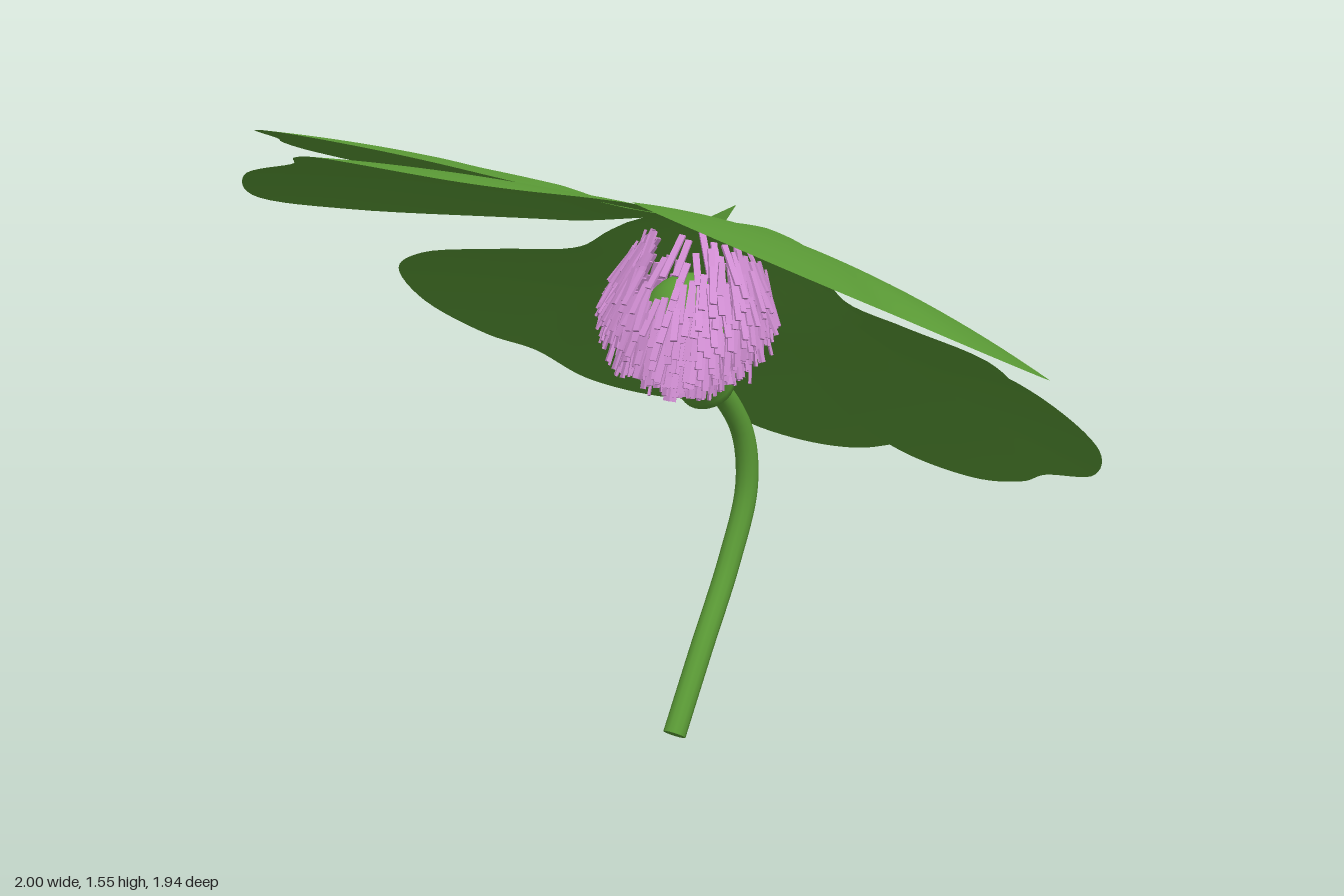
import * as THREE from 'three';
import { mergeGeometries } from 'three/addons/utils/BufferGeometryUtils.js';

const HUB = { x: 0.08, z: 0 };

// One broad leaf: a closed outline in x,z, filled by rings and lifted onto a tilted plane.
// dome swells the middle, ridge lets the sides hang from the midrib, and all leaves blend at the hub.
function leafGeometry(outline, { base, slopeX, slopeZ, dome, ridge = 0 }) {
  const pts = [];
  for (let i = 0; i < outline.length; i += 2) pts.push(new THREE.Vector3(outline[i], 0, outline[i + 1]));
  const edge = new THREE.CatmullRomCurve3(pts, true, 'centripetal').getPoints(90).slice(0, 90);
  const n = edge.length, rings = 14;
  const mid = edge.reduce((s, p) => s.add(p), new THREE.Vector3()).divideScalar(n);
  const rib = new THREE.Vector2(mid.x - HUB.x, mid.z - HUB.z).normalize();
  const pos = [], idx = [];
  const put = (x, z, t) => {
    const dx = x - HUB.x, dz = z - HUB.z;
    const side = dx * rib.y - dz * rib.x;
    const own = base + slopeX * x + slopeZ * z + dome * (1 - t * t) - ridge * side * side;
    const hub = 1.31 + (z > 0 ? 0.2 : 0.65) * z;
    const y = THREE.MathUtils.lerp(hub, own, THREE.MathUtils.smoothstep(Math.hypot(dx, dz), 0.08, 0.38));
    pos.push(x, y, z);
  };
  put(mid.x, mid.z, 0);
  for (let r = 1; r <= rings; r++) {
    for (const p of edge) put(mid.x + (p.x - mid.x) * r / rings, mid.z + (p.z - mid.z) * r / rings, r / rings);
  }
  for (let i = 0; i < n; i++) {
    const j = (i + 1) % n;
    idx.push(0, 1 + i, 1 + j);
    for (let r = 0; r < rings - 1; r++) {
      const a = 1 + r * n + i, b = 1 + r * n + j;
      idx.push(a, a + n, b + n, a, b + n, b);
    }
  }
  // make the front of every face look upwards
  let area = 0;
  edge.forEach((p, i) => { const q = edge[(i + 1) % n]; area += p.x * q.z - q.x * p.z; });
  if (area > 0) idx.reverse();
  const g = new THREE.BufferGeometry();
  g.setAttribute('position', new THREE.Float32BufferAttribute(pos, 3));
  g.setIndex(idx);
  g.computeVertexNormals();
  return g;
}

function seeded(seed) {
  return () => {
    seed = (seed * 16807) % 2147483647;
    return seed / 2147483647;
  };
}

export function createModel() {
  const model = new THREE.Group();
  const green = new THREE.MeshStandardMaterial({ color: 0x5b9b36, side: THREE.DoubleSide });
  green.name = 'leaf green';
  const pink = new THREE.MeshStandardMaterial({ color: 0xd28fd4 });
  pink.name = 'floret pink';

  const add = (name, geometry, material) => {
    const mesh = new THREE.Mesh(geometry, material);
    mesh.name = name;
    model.add(mesh);
    return mesh;
  };
  const leaf = (name, shape, outline) => add(name, leafGeometry(outline, shape), green);

  // Front leaves
  leaf('frontRightLeaf', { base: 1.3, slopeX: -0.063, slopeZ: 0.283, dome: 0.03 }, [
    0.1, 0.12, 0.1, -0.04, -0.15, -0.01, -0.33, 0.01, -0.44, -0.05, -0.47, -0.085, -0.7, -0.07, -0.88, 0.01,
    -1, 0.2, -0.95, 0.36, -0.84, 0.5, -0.77, 0.65, -0.62, 0.73, -0.45, 0.73, -0.3, 0.65, -0.15, 0.32]);
  leaf('frontLeaf', { base: 1.3, slopeX: 0.08, slopeZ: 0.285, dome: 0.015, ridge: 0.32 }, [
    0.11, 0.13, 0.09, 0.4, 0.05, 0.72, -0.05, 0.88, -0.25, 0.97, -0.42, 0.9, -0.5, 0.82, -0.68, 0.78,
    -0.78, 0.65, -0.65, 0.45, -0.3, 0.15, -0.1, 0, 0.08, 0]);
  leaf('frontLeftLeaf', { base: 1.3, slopeX: -0.28, slopeZ: 0.36, dome: 0.065 }, [
    0.12, 0.14, 0.2, 0.3, 0.25, 0.52, 0.33, 0.7, 0.5, 0.76, 0.68, 0.7, 0.78, 0.57, 0.82, 0.46,
    0.95, 0.32, 1, 0.15, 0.95, 0, 0.82, -0.09, 0.6, -0.1, 0.33, -0.11, 0.2, -0.13, 0.05, -0.05]);

  // Back leaves
  leaf('backLeftLeaf', { base: 1.27, slopeX: -0.132, slopeZ: 0.785, dome: 0.05 }, [
    0.1, 0, 0.25, -0.14, 0.45, -0.2, 0.75, -0.3, 0.85, -0.5, 0.77, -0.67, 0.6, -0.75, 0.5, -0.83,
    0.32, -0.9, 0.12, -0.87, 0.03, -0.75, 0.02, -0.4]);
  leaf('backLeaf', { base: 1.28, slopeX: 0.2, slopeZ: 0.76, dome: 0.05 }, [
    0.15, -0.03, 0.24, -0.2, 0.25, -0.33, 0.35, -0.45, 0.5, -0.63, 0.51, -0.78, 0.42, -0.93, 0.27, -0.97,
    0.1, -0.95, -0.07, -0.96, -0.22, -0.9, -0.34, -0.78, -0.38, -0.6, -0.25, -0.4, -0.12, -0.1, 0, 0.02]);
  leaf('backRightLeaf', { base: 1.27, slopeX: 0.185, slopeZ: 0.71, dome: 0.045 }, [
    0.1, 0.03, -0.2, 0.03, -0.34, 0, -0.55, 0.03, -0.78, 0.05, -0.9, 0, -0.94, -0.15, -0.87, -0.33, -0.78, -0.42,
    -0.72, -0.58, -0.55, -0.7, -0.38, -0.72, -0.25, -0.66, -0.1, -0.4, 0.08, -0.15]);

  // Small upturned fold beside the gap between the front leaves
  const fold = new THREE.BufferGeometry();
  fold.setAttribute('position', new THREE.Float32BufferAttribute(
    [0.13, 1.33, 0.16, 0.27, 1.34, 0.28, 0.27, 1.39, 0.21], 3));
  fold.computeVertexNormals();
  add('leafFold', fold, green);

  // Curved stem with a closed foot
  const path = new THREE.CatmullRomCurve3([
    [-0.02, 0.012, 0.03], [-0.02, 0.2, -0.09], [-0.02, 0.4, -0.22], [-0.01, 0.58, -0.285],
    [-0.01, 0.72, -0.27], [-0.02, 0.82, -0.21], [-0.03, 0.89, -0.13]
  ].map(p => new THREE.Vector3(...p)));
  add('stem', new THREE.TubeGeometry(path, 40, 0.029, 12), green);
  const foot = add('stemFoot', new THREE.CircleGeometry(0.029, 12), green);
  foot.position.copy(path.getPoint(0));
  foot.lookAt(path.getPoint(0).sub(path.getTangent(0)));

  // Flared cup under the flower head
  const cup = add('calyx', new THREE.LatheGeometry([
    [0, -0.06], [0.04, -0.06], [0.068, -0.045], [0.074, -0.02], [0.073, 0.01], [0.082, 0.04], [0.09, 0.09], [0, 0.09]
  ].map(p => new THREE.Vector2(...p)), 24), green);
  cup.position.set(-0.03, 0.9, -0.115);
  cup.quaternion.setFromUnitVectors(new THREE.Vector3(0, 1, 0), new THREE.Vector3(0.1, 0.78, 0.6).normalize());

  // Flower head: green core covered in flat pink florets
  const centre = new THREE.Vector3(0.015, 1.09, 0.02);
  const core = add('flowerCore', new THREE.SphereGeometry(0.12, 24, 16), green);
  core.position.copy(centre).add(new THREE.Vector3(0, -0.03, -0.01));

  const rand = seeded(71);
  const bald = new THREE.Vector3(0.12, 0.68, 0.72).normalize();
  const florets = [];
  const count = 620;
  for (let i = 0; i < count; i++) {
    const y = 1 - 2 * (i + 0.5) / count, a = i * 2.39996;
    const s = Math.sqrt(1 - y * y);
    const out = new THREE.Vector3(Math.cos(a) * s, y, Math.sin(a) * s);
    const length = (0.075 + 0.05 * rand()) * (y < -0.6 ? 0.65 : 1);
    if (out.angleTo(bald) < 0.5 && rand() < 0.65) continue;
    const p = out.clone().multiplyScalar(0.165 + 0.03 * rand());
    p.x *= y < 0 ? 1.12 + 0.3 * y : 1.12;
    p.add(centre);
    // keep the florets beneath the leaves and clear of the cup
    if (p.y > 1.22 + 0.75 * Math.min(p.z, 0) + 0.25 * Math.max(p.z, 0)) continue;
    if (p.distanceTo(cup.position) < 0.1) continue;
    const dir = new THREE.Vector3(0, -1, 0.2).addScaledVector(out, y < 0 ? 0.25 : 0.45)
      .add(new THREE.Vector3(rand() - 0.5, 0, rand() - 0.5).multiplyScalar(0.3)).normalize();
    const across = new THREE.Vector3().crossVectors(dir, out).normalize();
    const facing = new THREE.Vector3().crossVectors(across, dir);
    const g = new THREE.BoxGeometry(0.016, length, 0.006);
    g.applyMatrix4(new THREE.Matrix4().makeBasis(across, dir, facing).setPosition(p));
    florets.push(g);
  }
  add('florets', mergeGeometries(florets), pink);

  return model;
}
